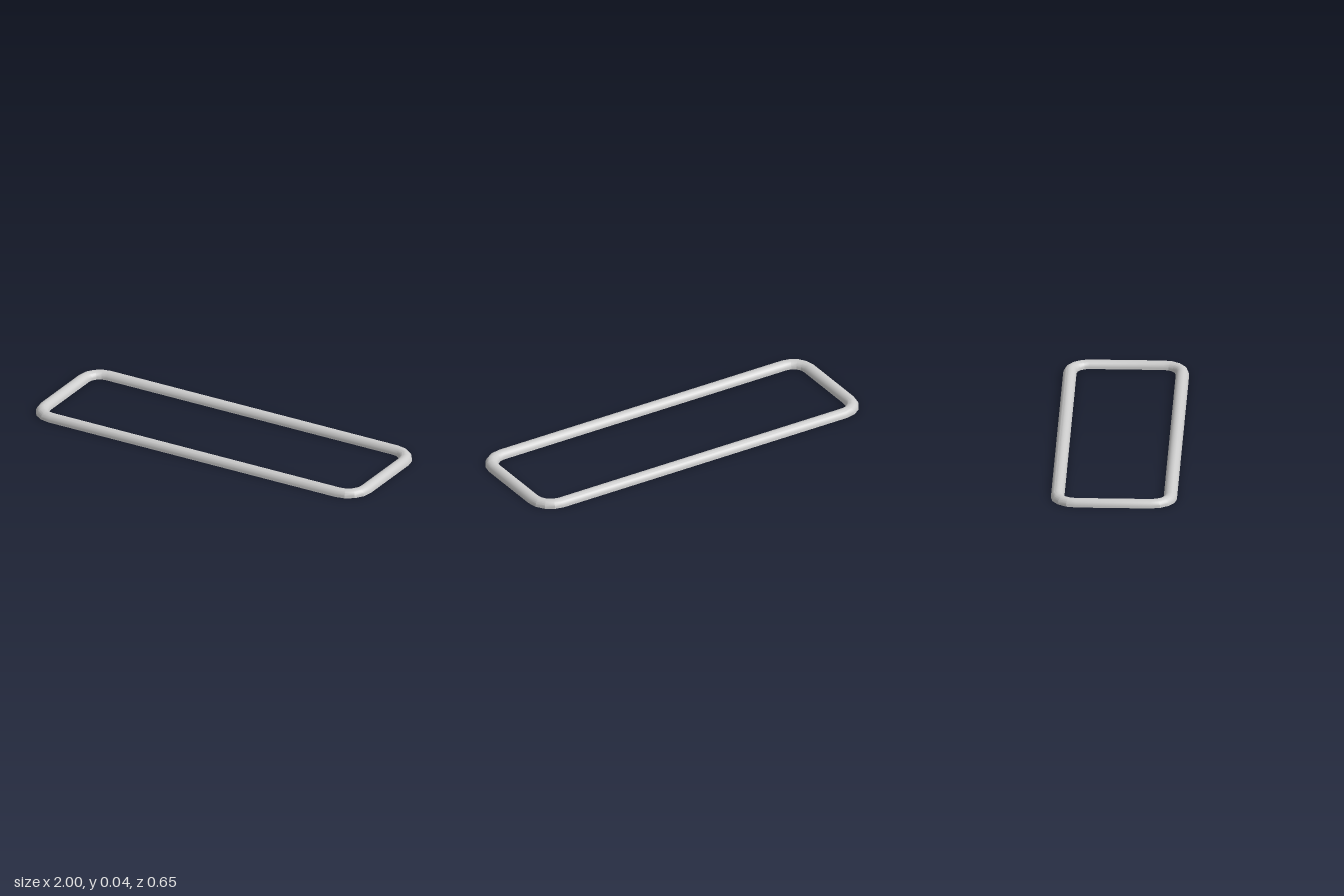
import * as THREE from 'three';
import { toCreasedNormals } from 'three/addons/utils/BufferGeometryUtils.js';

const HALF_WIDTH = 0.035, HEIGHT = 0.037;   // half-round profile
const BEND = 0.1;                           // corner radius at the profile centre
const CORNER_X = 0.865, CORNER_Z = 0.192;   // corner centres
const BEND_STEPS = 4, PROFILE_STEPS = 12;

// Half-round moulding swept round a rounded rectangle, open underneath
function frameGeometry() {
  const positions = [], index = [];
  const signs = [[1, 1], [-1, 1], [-1, -1], [1, -1]];
  signs.forEach(([sx, sz], corner) => {
    for (let i = 0; i <= BEND_STEPS; i++) {
      const a = (corner + i / BEND_STEPS) * Math.PI / 2;
      for (let j = 0; j <= PROFILE_STEPS; j++) {
        const t = j / PROFILE_STEPS * Math.PI;
        const r = BEND + HALF_WIDTH * Math.cos(t);
        positions.push(sx * CORNER_X + r * Math.cos(a), HEIGHT * Math.sin(t), sz * CORNER_Z + r * Math.sin(a));
      }
    }
  });
  const rings = 4 * (BEND_STEPS + 1), row = PROFILE_STEPS + 1;
  for (let i = 0; i < rings; i++) {
    for (let j = 0; j < PROFILE_STEPS; j++) {
      const a = i * row + j, b = ((i + 1) % rings) * row + j;
      index.push(a, a + 1, b, b, a + 1, b + 1);
    }
  }
  const geometry = new THREE.BufferGeometry();
  geometry.setAttribute('position', new THREE.Float32BufferAttribute(positions, 3));
  geometry.setIndex(index);
  // Round across the profile, faceted along the bends
  return toCreasedNormals(geometry, THREE.MathUtils.degToRad(19));
}

export function createModel() {
  const group = new THREE.Group();
  group.name = 'rectangularTrim';
  const material = new THREE.MeshStandardMaterial({ color: 0xcccccc, side: THREE.DoubleSide });
  const frame = new THREE.Mesh(frameGeometry(), material);
  frame.name = 'trimFrame';
  group.add(frame);
  return group;
}
